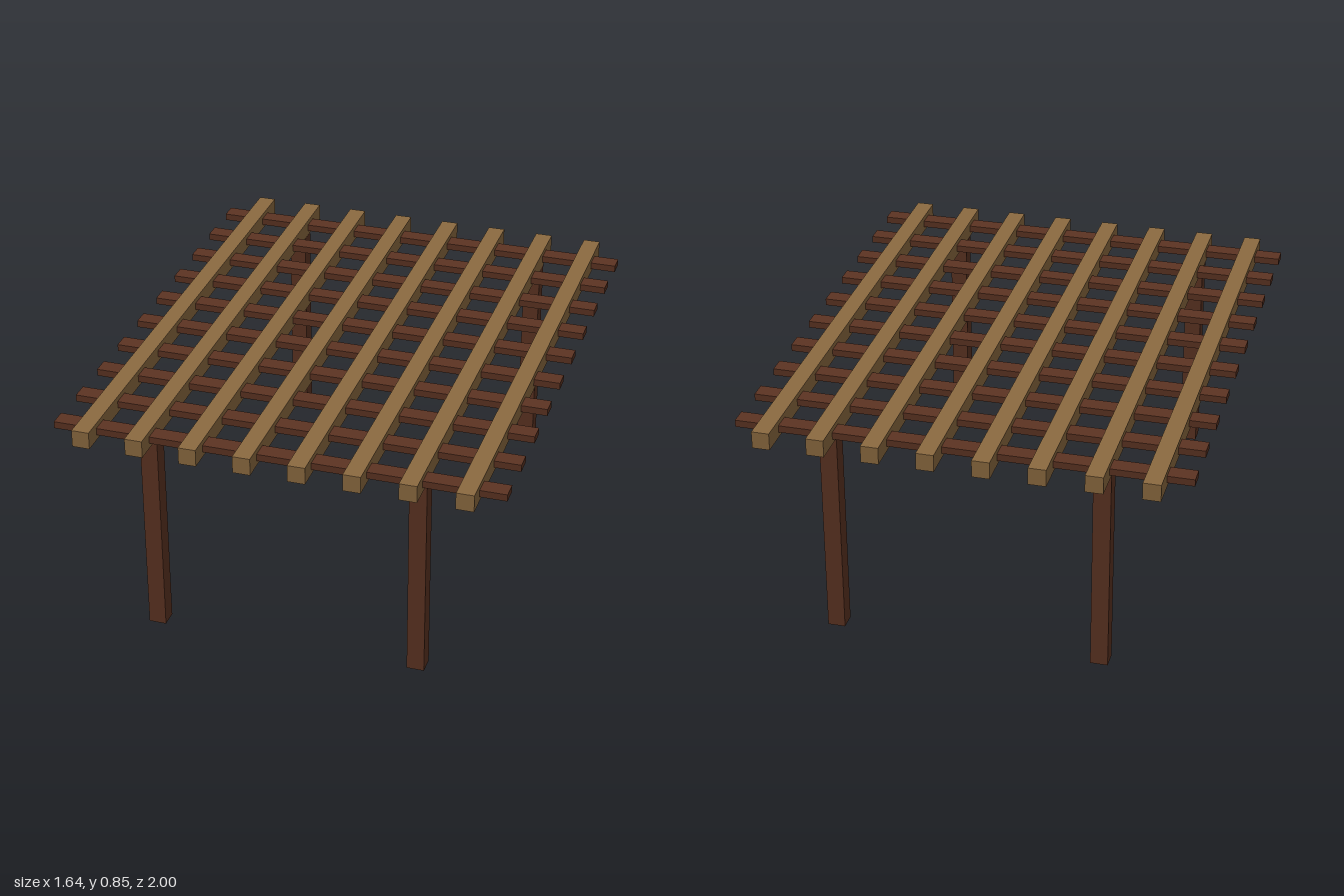
import * as THREE from 'three';

export function createModel() {
  const model = new THREE.Group();
  model.name = 'pergola';

  const darkWood = new THREE.MeshStandardMaterial({ color: 0x5c3322 });
  darkWood.name = 'dark wood';
  const lightWood = new THREE.MeshStandardMaterial({ color: 0x8c6a40 });
  lightWood.name = 'light wood';

  const addBox = (name, size, position, material) => {
    const mesh = new THREE.Mesh(new THREE.BoxGeometry(...size), material);
    mesh.name = name;
    mesh.position.set(...position);
    model.add(mesh);
  };

  const beam = 0.064;   // width of all timbers
  const spacing = 0.197;

  // Four corner posts, under the second rafter from each side
  for (const x of [-0.4915, 0.4915]) {
    for (const z of [-0.835, 0.835]) {
      addBox('post', [beam, 0.79, beam], [x, 0.395, z], darkWood);
    }
  }

  // Eight long rafters running front to back
  for (let i = 0; i < 8; i++) {
    addBox('rafter', [beam, beam, 2], [(i - 3.5) * spacing, 0.822, 0], lightWood);
  }

  // Ten thin cross slats threaded through the rafters, set slightly forward
  for (let i = 0; i < 10; i++) {
    addBox('crossSlat', [1.636, 0.026, beam], [0, 0.822, 0.0135 + (i - 4.5) * spacing], darkWood);
  }

  return model;
}
